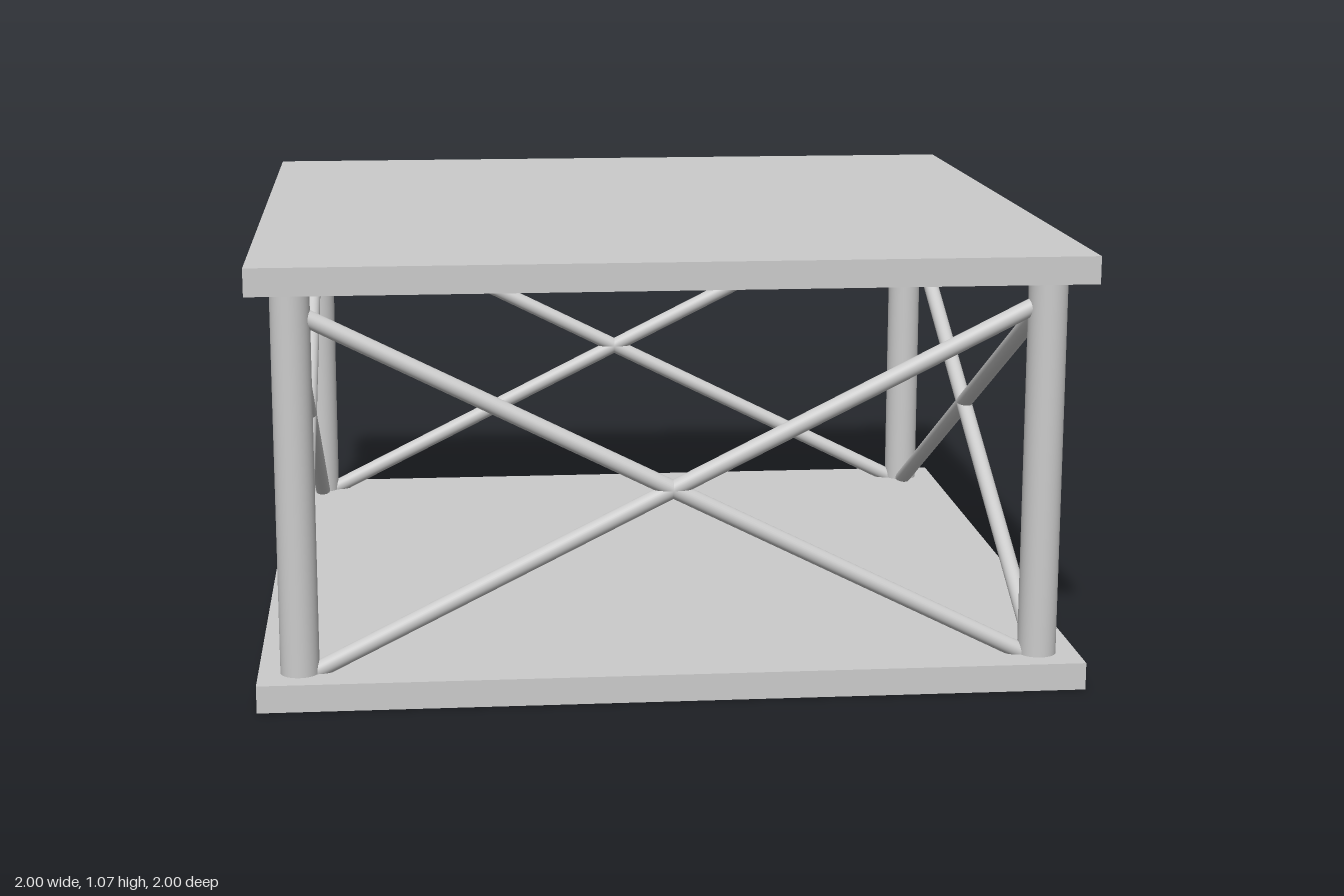
import * as THREE from 'three';

export function createModel() {
  const model = new THREE.Group();
  const material = new THREE.MeshStandardMaterial({ color: 0xcccccc });
  const thickness = 0.067, top = 1.067, inset = 0.9;

  const add = (name, geometry) => {
    const mesh = new THREE.Mesh(geometry, material);
    mesh.name = name;
    model.add(mesh);
    return mesh;
  };

  // round bar between two points
  const rod = (name, a, b, radius) => {
    const dir = b.clone().sub(a);
    const mesh = add(name, new THREE.CylinderGeometry(radius, radius, dir.length(), 32));
    mesh.position.copy(a).add(b).multiplyScalar(0.5);
    mesh.quaternion.setFromUnitVectors(new THREE.Vector3(0, 1, 0), dir.normalize());
  };

  // square slabs
  const slab = new THREE.BoxGeometry(2, thickness, 2);
  add('bottomPlate', slab).position.y = thickness / 2;
  add('topPlate', slab).position.y = top - thickness / 2;

  // corner posts and crossed braces, one set per side
  const corners = [[1, 1], [1, -1], [-1, -1], [-1, 1]];
  const at = ([x, z], y) => new THREE.Vector3(x * inset, y, z * inset);
  corners.forEach((c, i) => {
    const next = corners[(i + 1) % 4];
    rod('cornerPost', at(c, thickness), at(c, top - thickness), 0.047);
    rod('crossBrace', at(c, 0.05), at(next, 0.95), 0.021);
    rod('crossBrace', at(c, 0.95), at(next, 0.05), 0.021);
  });

  return model;
}
